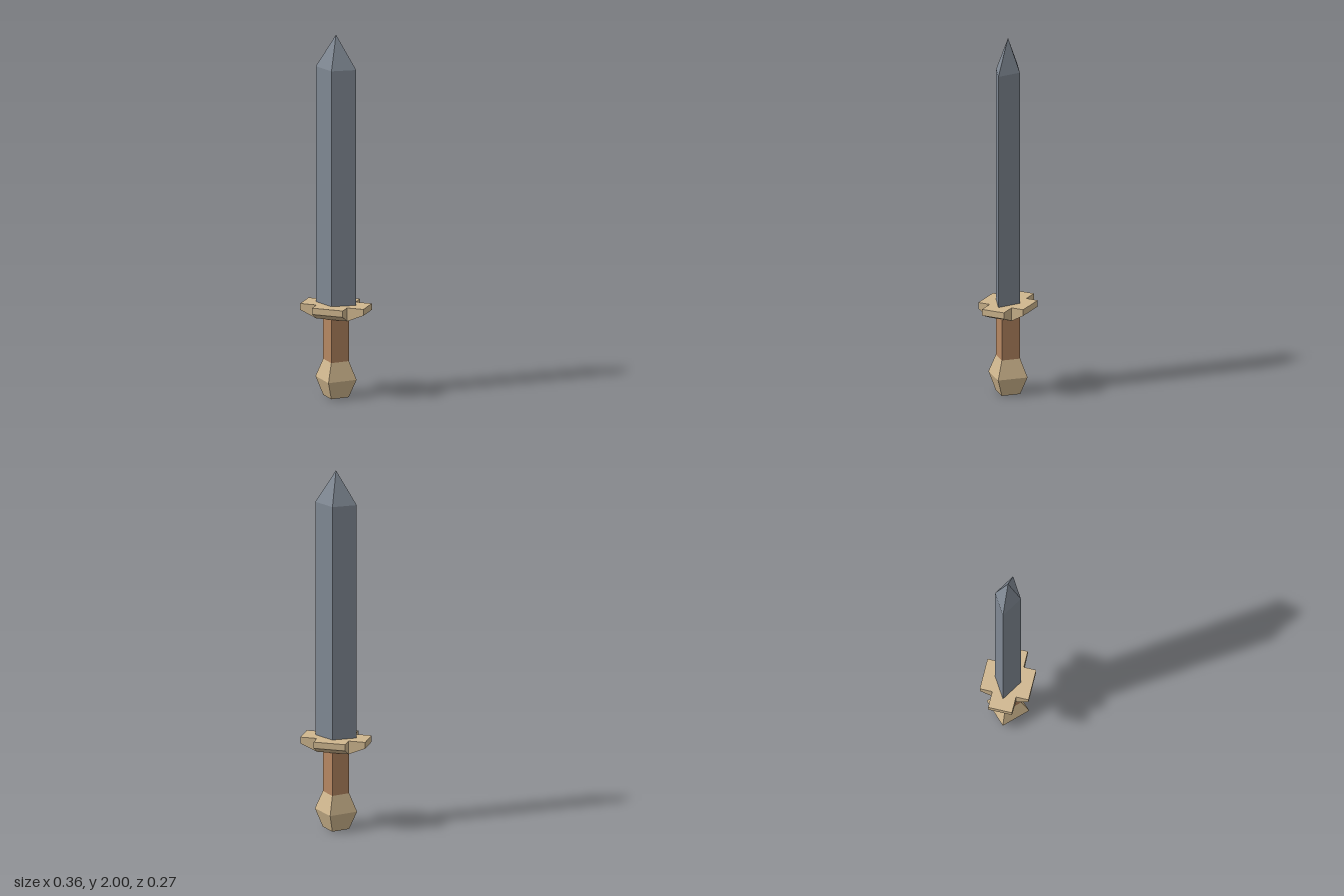
import * as THREE from 'three';

const steel = new THREE.MeshStandardMaterial({ name: 'steel', color: 0x808994 });
const brass = new THREE.MeshStandardMaterial({ name: 'paleBrass', color: 0xd0b78f });
const leather = new THREE.MeshStandardMaterial({ name: 'brownGrip', color: 0xb68762 });

// Split shared vertices so every face is flat
function part(name, geometry, material) {
  const flat = geometry.index ? geometry.toNonIndexed() : geometry;
  flat.computeVertexNormals();
  const mesh = new THREE.Mesh(flat, material);
  mesh.name = name;
  return mesh;
}

// Four-sided prism with its corners on the x and z axes
function diamond(name, rTop, rBottom, y0, y1, material, open = false, sx = 1, sz = 1) {
  const g = new THREE.CylinderGeometry(rTop, rBottom, y1 - y0, 4, 1, open);
  g.scale(sx, 1, sz).translate(0, (y0 + y1) / 2, 0);
  return part(name, g, material);
}

// Side profile in x/y, extruded to a width centred on z
function slab(name, points, width) {
  const shape = new THREE.Shape(points.map(([x, y]) => new THREE.Vector2(x, y)));
  const g = new THREE.ExtrudeGeometry(shape, { depth: width, bevelEnabled: false });
  g.translate(0, 0, -width / 2);
  return part(name, g, brass);
}

export function createModel() {
  const sword = new THREE.Group();
  sword.name = 'sword';

  // Blade and its point
  const blade = new THREE.Group();
  blade.name = 'blade';
  blade.add(
    diamond('bladeBody', 1, 1, 0.5, 1.815, steel, true, 0.115, 0.071),
    diamond('bladePoint', 0, 1, 1.815, 2, steel, true, 0.115, 0.071)
  );

  // Cross-shaped guard with arms tapering underneath
  const guard = new THREE.Group();
  guard.name = 'guard';
  const top = 0.512, mid = 0.477, low = 0.438;
  guard.add(slab('sideArms', [
    [-0.18, top], [-0.18, mid], [-0.088, low], [0.088, low], [0.18, mid], [0.18, top]
  ], 0.131));
  for (const side of [1, -1]) {
    const arm = slab(side > 0 ? 'frontArm' : 'backArm', [
      [0.0655, low], [0.134, mid], [0.134, top], [0.0655, top]
    ], 0.175);
    arm.rotation.y = -side * Math.PI / 2;
    guard.add(arm);
  }

  // Grip
  const grip = diamond('grip', 0.073, 0.073, 0.2, 0.44, leather, true);

  // Double-tapered pommel
  const pommel = new THREE.Group();
  pommel.name = 'pommel';
  pommel.add(
    diamond('pommelTop', 0.073, 0.117, 0.1, 0.2, brass),
    diamond('pommelBase', 0.117, 0.073, 0, 0.1, brass)
  );

  sword.add(blade, guard, grip, pommel);
  return sword;
}
